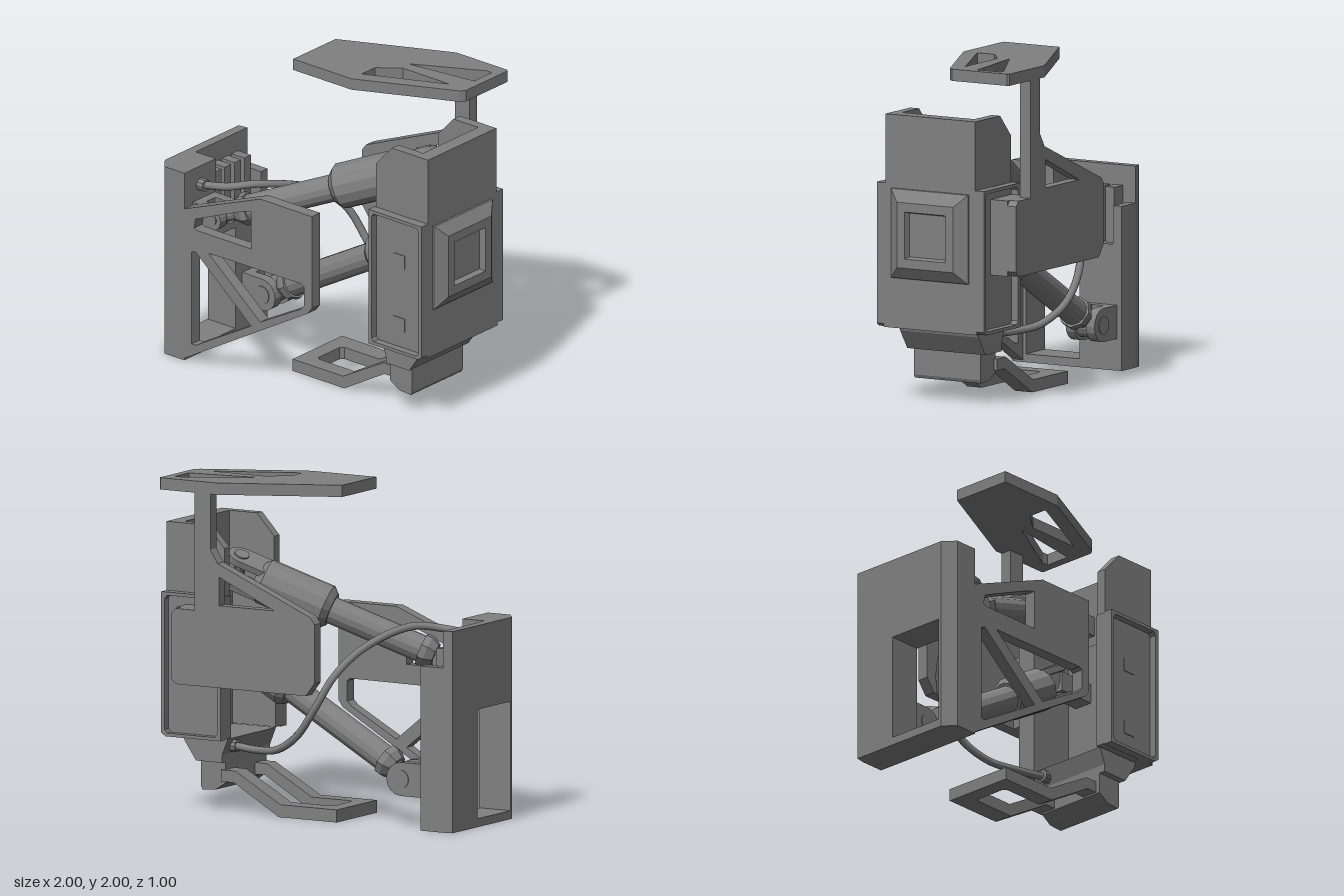
import * as THREE from 'three';

const mat = new THREE.MeshStandardMaterial({ color: 0x808080, flatShading: true });
const smooth = new THREE.MeshStandardMaterial({ color: 0x808080 });
const V = (x, y, z) => new THREE.Vector3(x, y, z);

export function createModel() {
  const root = new THREE.Group();

  const add = (name, geo, parent = root, m = mat) => {
    const mesh = new THREE.Mesh(geo, m);
    mesh.name = name;
    parent.add(mesh);
    return mesh;
  };
  // box from min/max ranges
  const box = (name, x0, x1, y0, y1, z0, z1, parent = root) =>
    add(name, new THREE.BoxGeometry(x1 - x0, y1 - y0, z1 - z0)
      .translate((x0 + x1) / 2, (y0 + y1) / 2, (z0 + z1) / 2), parent);
  const rect = (a0, a1, b0, b1) => [[a0, b0], [a1, b0], [a1, b1], [a0, b1]];
  // flat plate: outline in (x,y), (z,y) or (x,z), spanning d0..d1 along the axis
  const plate = (name, axis, d0, d1, pts, holes = []) => {
    const shape = new THREE.Shape(pts.map(p => new THREE.Vector2(...p)));
    holes.forEach(h => shape.holes.push(new THREE.Path(h.map(p => new THREE.Vector2(...p)))));
    const g = new THREE.ExtrudeGeometry(shape, { depth: d1 - d0, bevelEnabled: false });
    if (axis === 'z') g.translate(0, 0, d0);
    if (axis === 'x') g.rotateY(-Math.PI / 2).translate(d1, 0, 0);
    if (axis === 'y') g.rotateX(Math.PI / 2).translate(0, d1, 0);
    return add(name, g);
  };

  // ---- base block with a through window and a ribbed pocket at the top
  const windowHole = rect(0.03, 0.4, 0.05, 0.7);
  const back = plate('basePlate', 'x', -1, -0.94, rect(-0.26, 0.495, 0, 1.2), [windowHole]);
  const bp = back.geometry.attributes.position;
  for (let i = 0; i < bp.count; i++) {
    if (bp.getX(i) > -0.99) continue;
    if (bp.getZ(i) > 0.47) bp.setZ(i, 0.42);
    if (bp.getZ(i) < -0.2) bp.setZ(i, -0.25);
  }
  back.geometry.computeVertexNormals();
  plate('baseBody', 'x', -0.94, -0.785,
    [[-0.26, 0], [0.495, 0], [0.495, 1.2], [0.21, 1.2], [0.21, 0.75], [-0.2, 0.75], [-0.2, 0.98], [-0.26, 0.98]],
    [windowHole]);
  for (let i = 0; i < 4; i++) {
    const z = -0.145 + i * 0.09;
    box('baseRib', -0.945, -0.84, 0.74, 1.08, z - 0.03, z + 0.03);
  }

  // ---- front truss plate
  plate('frontFrame', 'z', 0.42, 0.495,
    [[-0.79, 0.01], [0.17, 0.57], [0.2, 0.61], [0.2, 1.2], [-0.2, 1.2], [-0.79, 0.97]], [
      [[-0.71, 0.87], [-0.69, 0.86], [-0.27, 0.86], [-0.27, 1.1], [-0.34, 1.08], [-0.7, 0.93]],
      [[-0.73, 0.12], [-0.7, 0.12], [-0.27, 0.365], [-0.7, 0.72], [-0.73, 0.71]],
      [[-0.6, 0.74], [-0.2, 0.41], [0.11, 0.58], [0.14, 0.61], [0.14, 0.73], [0.12, 0.745]]]);

  // ---- upper plate, rear panel with post
  plate('topPlate', 'y', 1.93, 2,
    [[-0.2, 0.195], [0.25, 0.195], [0.85, -0.08], [0.875, -0.11], [0.875, -0.49], [0.865, -0.5],
      [0.47, -0.5], [-0.2, -0.19]], [
      [[0.36, -0.19], [0.78, -0.41], [0.82, -0.41], [0.82, -0.25]],
      [[0.25, 0.1], [0.25, -0.02], [0.38, -0.12], [0.74, -0.12]]]);
  plate('rearPanel', 'z', -0.5, -0.43,
    [[-0.2, 0.86], [-0.14, 0.78], [0.76, 0.78], [0.79, 0.81], [0.79, 1.2], [0.76, 1.23], [0.63, 1.23], [0.63, 1.94],
      [0.52, 1.94], [0.52, 1.6], [0.47, 1.52], [-0.17, 1.25], [-0.2, 1.21]],
    [[[0.08, 1.27], [0.46, 1.27], [0.46, 1.44]]]);
  box('rearPanelMount', 0.55, 0.79, 0.78, 1.23, -0.44, -0.32);

  // ---- head: lower channel, open toward the arms
  box('headBackWall', 0.83, 0.94, 0.44, 1.3, -0.32, 0.32);
  for (const s of [-1, 1]) {
    const zr = (a, b) => s > 0 ? [a, b] : [-b, -a];
    plate('headSideWall', 'z', ...zr(0.25, 0.325), rect(0.53, 0.935, 0.445, 1.295));
    plate('headSideRim', 'z', ...zr(0.315, 0.37),
      [[0.53, 0.44], [0.91, 0.44], [0.94, 0.46], [0.94, 1.3], [0.53, 1.3]],
      [[[0.57, 0.46], [0.9, 0.46], [0.915, 0.48], [0.915, 1.26], [0.9, 1.28], [0.57, 1.28], [0.555, 1.26], [0.555, 0.48]]]);
    plate('upperCheek', 'z', ...zr(0.25, 0.31),
      [[0.54, 1.28], [0.94, 1.28], [0.94, 1.71], [0.66, 1.71], [0.54, 1.58]]);
  }
  for (const y of [0.605, 1.01])
    plate('sideSocket', 'z', 0.32, 0.33, rect(0.69, 0.775, y - 0.043, y + 0.043));
  box('upperBackWall', 0.85, 0.94, 1.28, 1.71, -0.28, 0.28);

  // ---- raised square pad on the outer face, with a recess
  const ring = (x, h) => [[-h, -h], [h, -h], [h, h], [-h, h]].map(([z, y]) => [x, y + 1.005, z]);
  const loops = [ring(0.93, 0.27), ring(0.95, 0.265), ring(1, 0.195), ring(1, 0.14), ring(0.965, 0.13)];
  const pos = [];
  const tri = (...p) => p.forEach(q => pos.push(...q));
  for (let l = 0; l < loops.length - 1; l++)
    for (let i = 0; i < 4; i++) {
      const j = (i + 1) % 4, a = loops[l], b = loops[l + 1];
      tri(a[i], b[j], a[j], a[i], b[i], b[j]);
    }
  const c = loops[4];
  tri(c[0], c[2], c[1], c[0], c[3], c[2]);
  const pad = new THREE.BufferGeometry();
  pad.setAttribute('position', new THREE.Float32BufferAttribute(pos, 3));
  pad.computeVertexNormals();
  add('outerPad', pad);

  // ---- lower neck and foot under the head
  plate('neck', 'z', -0.27, 0.27, [[0.54, 0.44], [0.58, 0.34], [0.58, 0.295], [0.76, 0.295], [0.84, 0.41], [0.85, 0.44]]);
  plate('foot', 'z', -0.23, 0.23, [[0.58, 0.3], [0.58, 0.17], [0.65, 0.125], [0.74, 0.12], [0.75, 0.14], [0.75, 0.3]]);

  // ---- lower finger: flat U-shaped end and two rising rails
  plate('fingerEnd', 'y', 0, 0.075,
    [[-0.2, -0.25], [0.19, -0.25], [0.19, -0.13], [-0.08, -0.13], [-0.1, -0.11], [-0.1, 0.08], [-0.08, 0.1],
      [0.19, 0.1], [0.19, 0.2], [-0.2, 0.2]]);
  for (const [z0, z1] of [[0.1, 0.2], [-0.25, -0.13]])
    plate('fingerRail', 'z', z0, z1, [[0.18, 0], [0.2, 0], [0.51, 0.18], [0.6, 0.18], [0.6, 0.25], [0.5, 0.25], [0.19, 0.075], [0.18, 0.075]]);

  // ---- telescopic arms
  const arm = (name, a, b, thickFrom, r) => {
    const g = new THREE.Group();
    g.name = name;
    const L = a.distanceTo(b);
    const seg = (n, y0, y1, r0, r1 = r0, sides = 14) =>
      add(n, new THREE.CylinderGeometry(r1, r0, y1 - y0, sides).translate(0, (y0 + y1) / 2, 0), g);
    seg('armShank', 0, 0.2, 0.05);
    seg('armCollar', 0.1, 0.15, 0.07, 0.1, 8);
    seg('armCollar', 0.15, 0.19, 0.1, 0.1, 8);
    seg('armRod', 0.18, thickFrom + 0.05, 0.082);
    seg('armSleeveTaper', thickFrom - 0.02, thickFrom + 0.02, 0.1, r);
    seg('armSleeve', thickFrom + 0.02, L - 0.18, r);
    seg('armSleeveEnd', L - 0.18, L - 0.13, r, 0.09);
    // forked tip holding the joint pin
    for (const s of [-1, 1]) {
      const x = s * 0.085;
      box('tipProng', x - 0.02, x + 0.02, L - 0.2, L, -0.08, 0.08, g);
      add('tipProngEnd', new THREE.CylinderGeometry(0.08, 0.08, 0.04, 14).rotateZ(Math.PI / 2).translate(x, L, 0), g);
    }
    add('tipPin', new THREE.CylinderGeometry(0.045, 0.045, 0.23, 12).rotateZ(Math.PI / 2).translate(0, L, 0), g);
    g.position.copy(a);
    g.quaternion.setFromUnitVectors(V(0, 1, 0), b.clone().sub(a).normalize());
    root.add(g);
    // stub joining the pin to the head
    box('headJointStub', b.x - 0.02, 0.87, b.y - 0.06, b.y + 0.06, b.z - 0.06, b.z + 0.06);
  };

  // forked hinge on the base
  const clevis = (p, r) => {
    const pts = [[-0.8, p.y - r], [p.x, p.y - r]];
    for (let i = 1; i < 8; i++) {
      const t = -Math.PI / 2 + i * Math.PI / 8;
      pts.push([p.x + r * Math.cos(t), p.y + r * Math.sin(t)]);
    }
    pts.push([p.x, p.y + r], [-0.8, p.y + r]);
    for (const s of [-1, 1]) plate('clevisProng', 'z', p.z + s * 0.07 - 0.03, p.z + s * 0.07 + 0.03, pts);
    box('clevisFoot', -0.8, -0.73, p.y - r, p.y + r, p.z - 0.1, p.z + 0.1);
    const cyl = (n, rad, len) =>
      add(n, new THREE.CylinderGeometry(rad, rad, len, 14).rotateX(Math.PI / 2).translate(p.x, p.y, p.z));
    cyl('hingePin', r * 0.55, 0.21);
    cyl('hingeKnuckle', r * 0.8, 0.08);
  };
  const upper = V(-0.64, 0.92, 0.32), lower = V(-0.63, 0.29, -0.13);
  clevis(upper, 0.07);
  clevis(lower, 0.1);
  arm('upperArm', upper, V(0.57, 1.43, -0.12), 0.79, 0.138);
  arm('lowerArm', lower, V(0.6, 0.99, -0.13), 0.94, 0.13);

  // ---- hose with end fittings
  const path = new THREE.CatmullRomCurve3([V(-0.76, 1.085, 0.35), V(-0.6, 1.11, 0.325), V(-0.45, 1.13, 0.2),
    V(-0.31, 1.03, -0.13), V(-0.22, 0.88, -0.31), V(-0.13, 0.7, -0.37), V(0, 0.52, -0.36), V(0.18, 0.41, -0.3),
    V(0.36, 0.385, -0.23), V(0.56, 0.39, -0.18)]);
  add('hose', new THREE.TubeGeometry(path, 60, 0.023, 10), root, smooth);
  for (const [x, y, z] of [[-0.765, 1.085, 0.35], [0.55, 0.39, -0.18]])
    add('hoseFitting', new THREE.CylinderGeometry(0.038, 0.038, 0.05, 10).rotateZ(Math.PI / 2).translate(x, y, z));

  return root;
}
